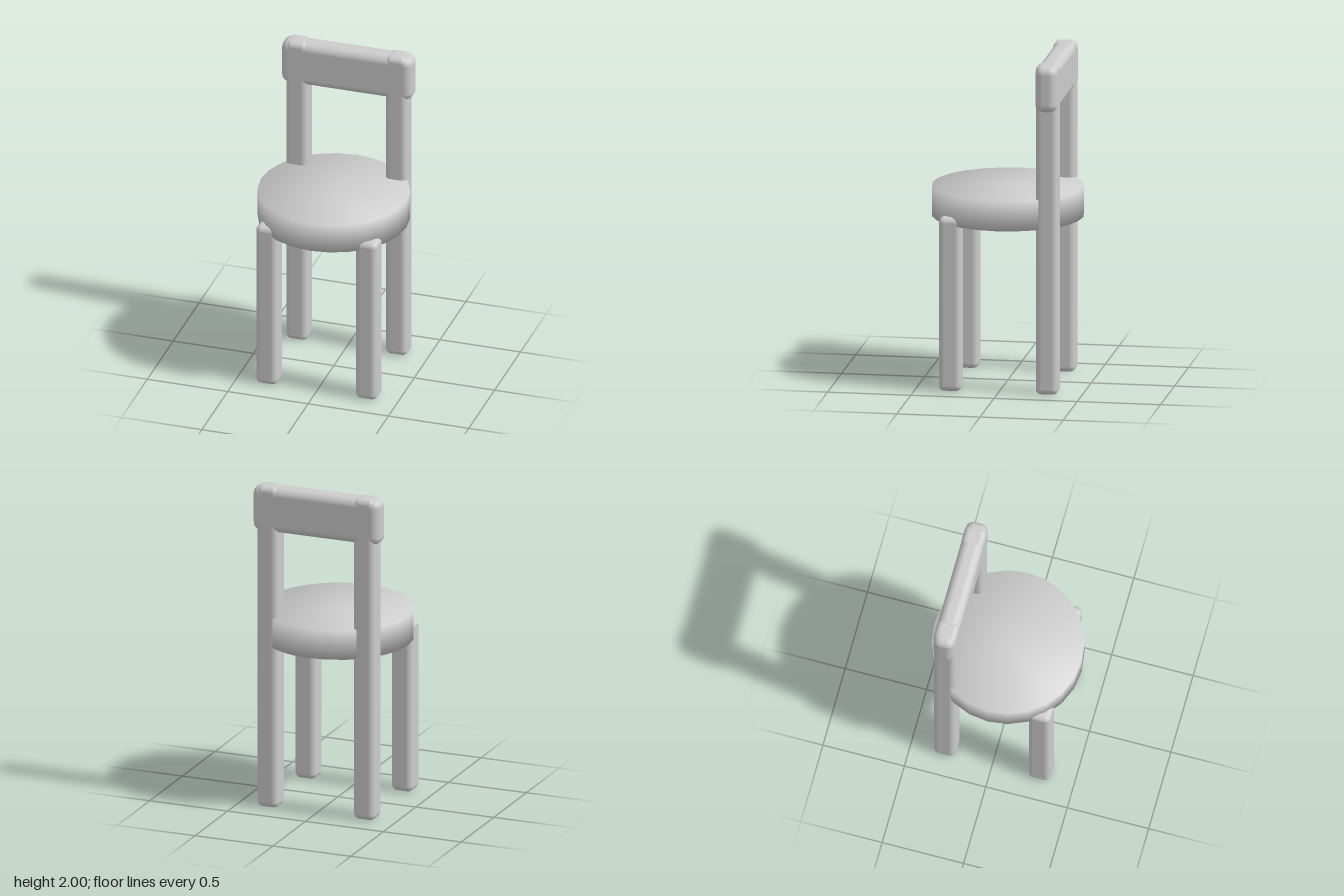
import * as THREE from 'three';
import { mergeVertices } from 'three/addons/utils/BufferGeometryUtils.js';
import { RoundedBoxGeometry } from 'three/addons/geometries/RoundedBoxGeometry.js';

const grey = new THREE.MeshStandardMaterial({ color: 0xcccccc });
grey.name = 'grey';

// Weld the corners so that the shading flows over every edge
function smooth(geometry) {
  geometry.deleteAttribute('normal');
  geometry.deleteAttribute('uv');
  const welded = mergeVertices(geometry, 1e-4);
  welded.clearGroups();
  welded.computeVertexNormals();
  return welded;
}

export function createModel() {
  const chair = new THREE.Group();
  chair.name = 'chair';

  function add(name, geometry, x, y, z) {
    const mesh = new THREE.Mesh(geometry, grey);
    mesh.name = name;
    mesh.position.set(x, y, z);
    chair.add(mesh);
  }

  // Round seat with 24 sides
  add('seat', smooth(new THREE.CylinderGeometry(0.452, 0.452, 0.182, 24)), 0, 1.096, 0);

  // Short front legs and tall back posts
  const frontLeg = new RoundedBoxGeometry(0.135, 1.056, 0.135, 3, 0.035);
  const backPost = new RoundedBoxGeometry(0.135, 2, 0.135, 3, 0.035);
  for (const side of [1, -1]) {
    const label = side > 0 ? 'left' : 'right';
    add(label + 'FrontLeg', frontLeg, side * 0.31, 0.528, 0.29);
    add(label + 'BackPost', backPost, side * 0.31, 1, -0.292);
  }

  // Back rest wrapping the tops of the posts
  add('backRest', new RoundedBoxGeometry(0.815, 0.28, 0.135, 3, 0.05), 0, 1.858, -0.292);

  return chair;
}
